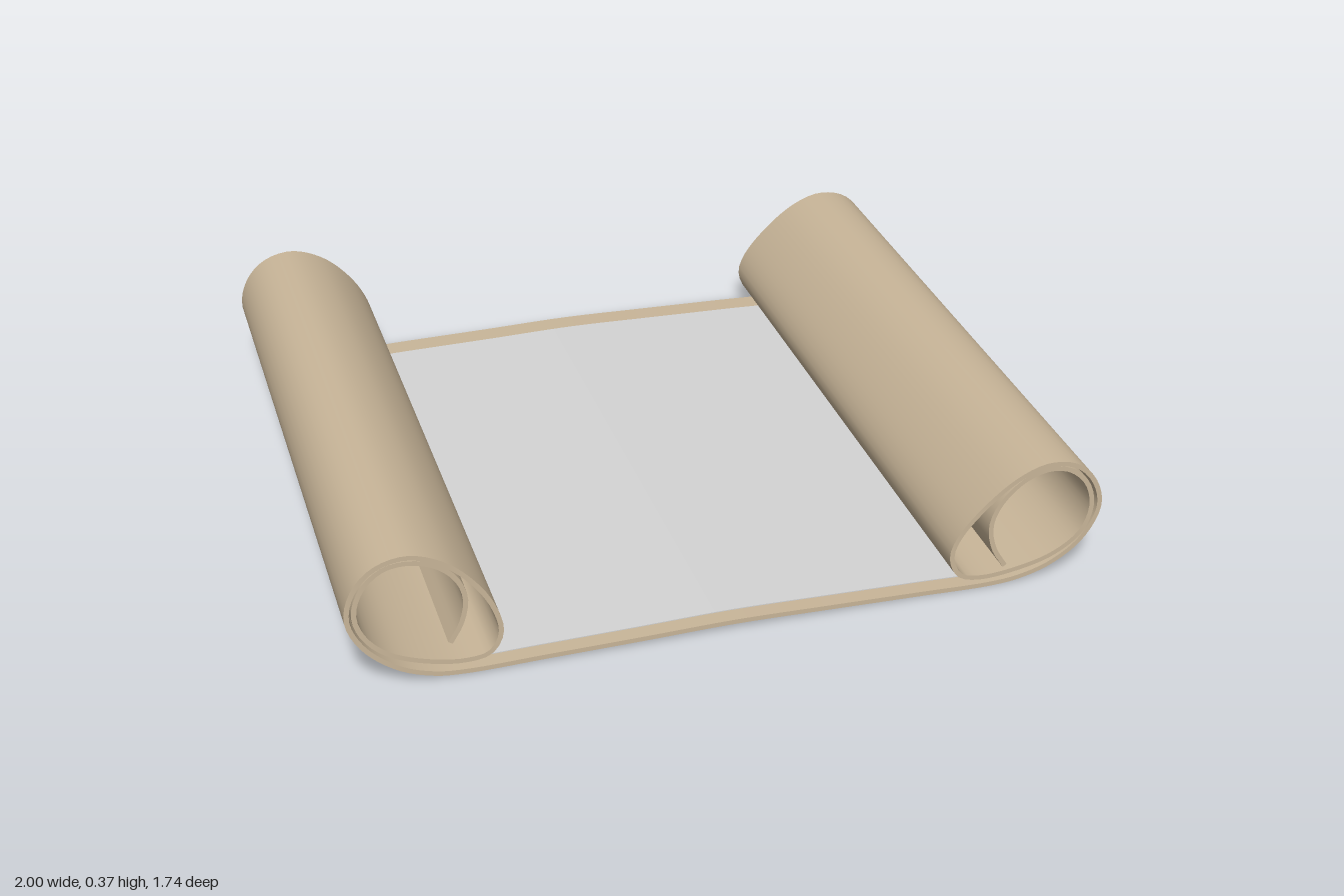
import * as THREE from 'three';
import { toCreasedNormals } from 'three/addons/utils/BufferGeometryUtils.js';

// Rolled ends, each listed from its inner tip outwards to the flat middle
const leftRoll = [
  [-0.74, 0.105], [-0.71, 0.16], [-0.698, 0.23], [-0.72, 0.29], [-0.77, 0.335], [-0.84, 0.355],
  [-0.9, 0.345], [-0.95, 0.3], [-0.973, 0.23], [-0.955, 0.165], [-0.9, 0.105], [-0.8, 0.062],
  [-0.7, 0.046], [-0.64, 0.058], [-0.612, 0.11], [-0.625, 0.18], [-0.67, 0.26], [-0.75, 0.337],
  [-0.84, 0.37], [-0.92, 0.35], [-0.972, 0.295], [-0.991, 0.215], [-0.955, 0.13], [-0.87, 0.055],
  [-0.78, 0.021], [-0.7, 0.013],
];
const rightRoll = [
  [0.735, 0.06], [0.7, 0.12], [0.688, 0.19], [0.71, 0.25], [0.77, 0.31], [0.84, 0.334],
  [0.9, 0.322], [0.95, 0.275], [0.969, 0.205], [0.945, 0.13], [0.87, 0.073], [0.75, 0.041],
  [0.66, 0.036], [0.61, 0.052], [0.584, 0.11], [0.6, 0.165], [0.67, 0.25], [0.76, 0.32],
  [0.84, 0.347], [0.92, 0.33], [0.972, 0.275], [0.991, 0.2], [0.95, 0.11], [0.87, 0.048],
  [0.78, 0.018], [0.7, 0.01],
];
const flat = [[-0.5, 0.016], [-0.25, 0.02], [0, 0.025], [0.25, 0.02], [0.5, 0.014]];

// Extrudes a band lying between two offsets from a line, along z
function ribbon(line, low, high, z0, z1) {
  const offset = (d) => line.map((p, i) => {
    const a = line[Math.max(i - 1, 0)], b = line[Math.min(i + 1, line.length - 1)];
    const t = new THREE.Vector2(b.x - a.x, b.y - a.y).normalize();
    return new THREE.Vector2(p.x - t.y * d, p.y + t.x * d);
  });
  const shape = new THREE.Shape([...offset(low), ...offset(high).reverse()]);
  const geometry = new THREE.ExtrudeGeometry(shape, { depth: z1 - z0, bevelEnabled: false });
  geometry.translate(0, 0, z0);
  return toCreasedNormals(geometry, 0.7);
}

export function createModel() {
  const parchment = new THREE.MeshStandardMaterial({ color: 0xc9b699 });
  parchment.name = 'parchment';
  const paper = new THREE.MeshStandardMaterial({ color: 0xd4d4d4 });
  paper.name = 'paleGrey';

  const points = [...leftRoll, ...flat, ...rightRoll.slice().reverse()]
    .map(([x, y]) => new THREE.Vector3(x, y, 0));
  const line = new THREE.CatmullRomCurve3(points, false, 'centripetal').getSpacedPoints(260);

  const group = new THREE.Group();
  group.name = 'scroll';

  // Sheet with both ends curled up
  const sheet = new THREE.Mesh(ribbon(line, -0.0065, 0.0065, -0.875, 0.862), parchment);
  sheet.name = 'rolledSheet';

  // Pale writing area on the flat middle
  const middle = line.filter((p) => p.y < 0.03 && Math.abs(p.x) < 0.68);
  const page = new THREE.Mesh(ribbon(middle, 0.005, 0.009, -0.805, 0.818), paper);
  page.name = 'writingArea';

  group.add(sheet, page);
  return group;
}
